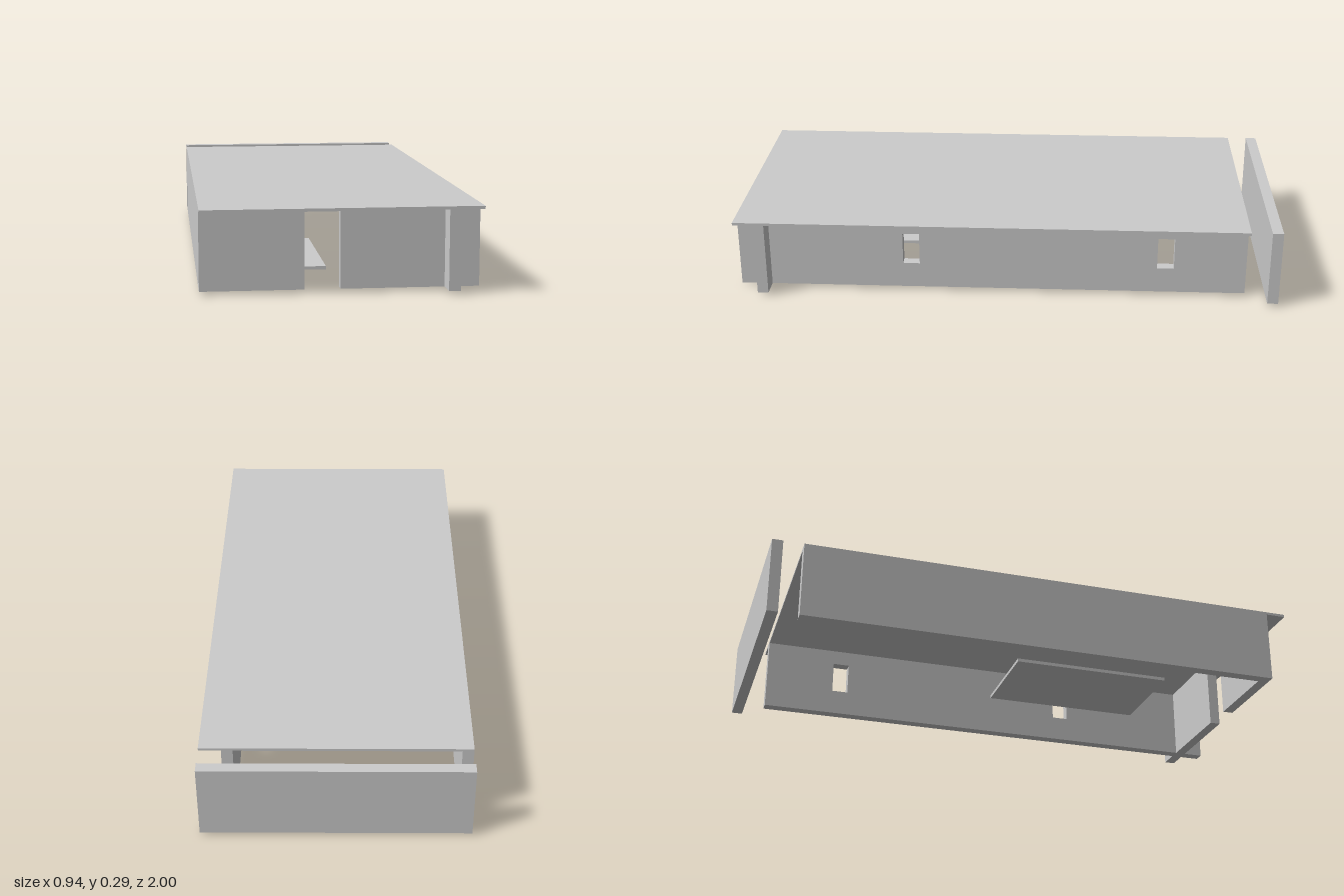
import * as THREE from 'three';

const BASE = 0.012, EAVE = 0.285, TOP = 0.295, THICK = 0.04;

export function createModel() {
  const model = new THREE.Group();
  model.name = 'house';
  const material = new THREE.MeshStandardMaterial({ color: 0xcccccc });

  const add = (name, geometry) => {
    const mesh = new THREE.Mesh(geometry, material);
    mesh.name = name;
    model.add(mesh);
    return mesh;
  };

  // Box given by its lower and upper corners
  const slab = (name, [x0, y0, z0], [x1, y1, z1]) =>
    add(name, new THREE.BoxGeometry(x1 - x0, y1 - y0, z1 - z0))
      .position.set((x0 + x1) / 2, (y0 + y1) / 2, (z0 + z1) / 2);

  const rectangle = (Type, a0, b0, a1, b1) =>
    new Type([[a0, b0], [a1, b0], [a1, b1], [a0, b1]].map(p => new THREE.Vector2(...p)));
  const extrude = shape =>
    new THREE.ExtrudeGeometry(shape, { depth: THICK, bevelEnabled: false });

  // Roof and the free-standing wall behind it
  slab('roof', [-0.47, EAVE, -0.885], [0.47, TOP, 1]);
  slab('backWall', [-0.47, BASE, -1], [0.47, TOP, -0.96]);

  // Plain left wall, flush with the roof edge
  slab('leftWall', [-0.47, BASE, -0.885], [-0.43, EAVE, 0.885]);

  // Right wall, set in from the roof edge, with two window openings
  const side = rectangle(THREE.Shape, -0.885, BASE, 1, EAVE);
  for (const z of [0.356, -0.588]) {
    side.holes.push(rectangle(THREE.Path, z - 0.031, 0.108, z + 0.031, 0.228));
  }
  const rightWall = add('rightWall', extrude(side).rotateY(-Math.PI / 2));
  rightWall.position.x = 0.392;

  // Front wall with a nearly full-height doorway
  const front = new THREE.Shape([
    [-0.47, BASE], [-0.12, BASE], [-0.12, 0.278], [0, 0.278],
    [0, BASE], [0.352, BASE], [0.352, EAVE], [-0.47, EAVE],
  ].map(p => new THREE.Vector2(...p)));
  add('frontWall', extrude(front)).position.z = 0.885;

  // Short front return outside the right wall
  slab('frontWallReturn', [0.392, BASE, 0.885], [0.47, EAVE, 0.925]);

  // Low floor panel
  slab('floorPanel', [-0.355, 0, -0.055], [-0.002, BASE, 0.53]);

  return model;
}
